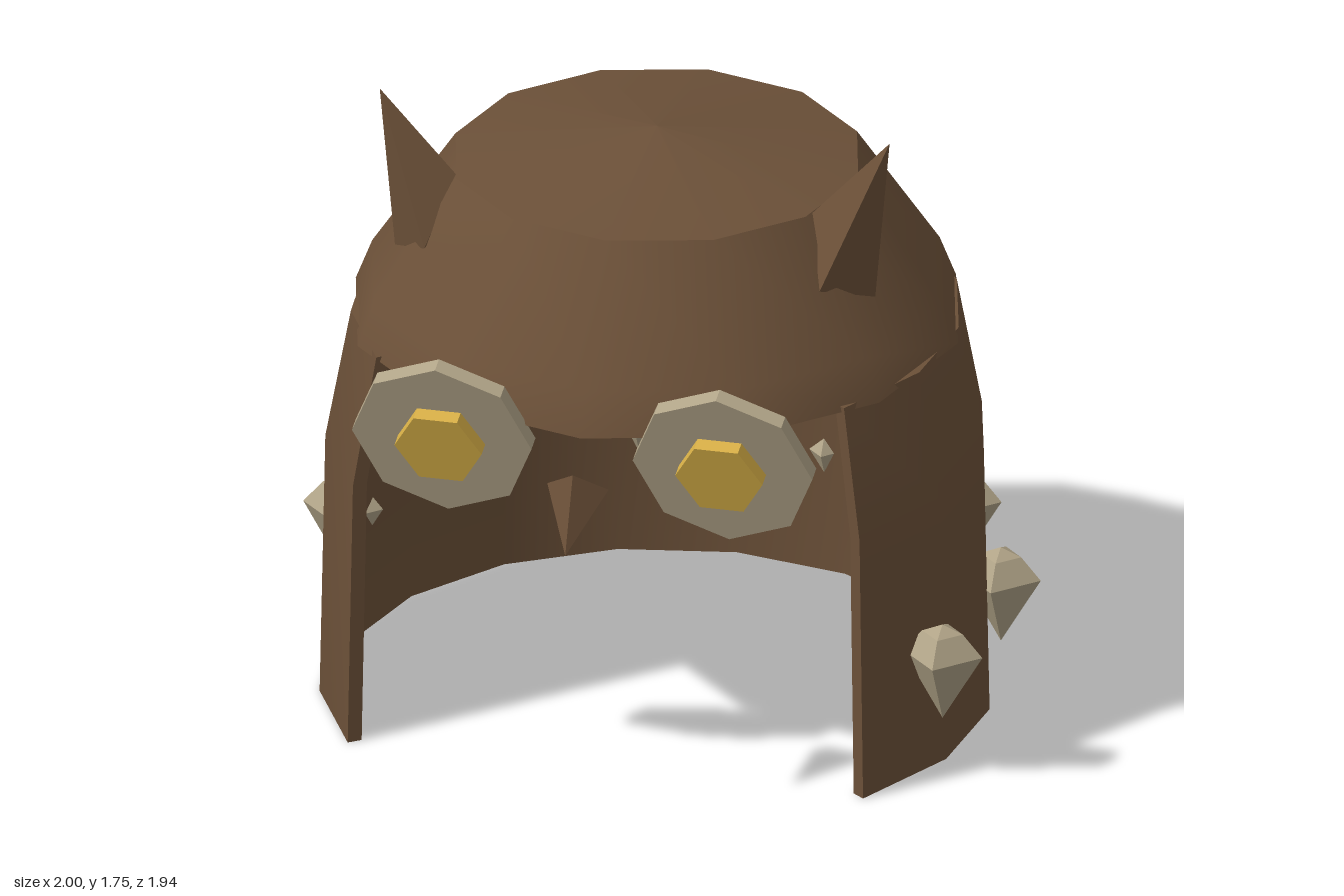
import * as THREE from 'three';
import { ConvexGeometry } from 'three/addons/geometries/ConvexGeometry.js';

const flat = (g) => {
  const out = g.index ? g.toNonIndexed() : g;
  out.computeVertexNormals();
  return out;
};
const profile = (points) => points.map(([x, y]) => new THREE.Vector2(x, y));
const hull = (points) => flat(new ConvexGeometry(points.map((p) => new THREE.Vector3(...p))));

export function createModel() {
  const model = new THREE.Group();
  model.name = 'owlHelmet';

  const brown = new THREE.MeshStandardMaterial({ color: 0x6b5038, side: THREE.DoubleSide });
  brown.name = 'brown';
  const bone = new THREE.MeshStandardMaterial({ color: 0xb0a387 });
  bone.name = 'bone';
  const amber = new THREE.MeshStandardMaterial({ color: 0xd6ae46 });
  amber.name = 'amber';

  const add = (name, geometry, material, parent = model) => {
    const mesh = new THREE.Mesh(geometry, material);
    mesh.name = name;
    parent.add(mesh);
    return mesh;
  };

  // Crown: shallow roof over a flared, smooth skirt
  add('crownRoof', new THREE.LatheGeometry(profile([[0.545, 1.535], [0, 1.62]]), 12), brown);
  add('crownSkirt', new THREE.LatheGeometry(
    profile([[0.815, 1.085], [0.77, 1.2], [0.545, 1.535]]), 12), brown);

  // Neck guard: thick curved wall, open at the front
  const outer = [[0.885, 0], [0.87, 0.74], [0.803, 1.1]];
  const inner = [[0.765, 1.1], [0.83, 0.74], [0.845, 0]];
  const halfArc = THREE.MathUtils.degToRad(128);
  const arc = (points) =>
    new THREE.LatheGeometry(profile(points), 12, Math.PI - halfArc, halfArc * 2);
  add('guardOuter', arc(outer), brown);
  add('guardInner', arc(inner), brown);
  add('guardBottomRim', arc([inner[2], outer[0]]), brown);
  add('guardTopRim', arc([outer[2], inner[0]]), brown);
  const edge = new THREE.ShapeGeometry(new THREE.Shape(profile([...outer, ...inner])));
  for (const side of [-1, 1]) {
    const phi = Math.PI + side * halfArc;
    add('guardFrontEdge', edge, brown).rotation.y = phi - Math.PI / 2;
  }

  // Bone studs around the guard
  const studShape = flat(new THREE.LatheGeometry(
    profile([[0, -0.185], [0.108, 0], [0.055, 0.062], [0, 0.085]]), 4));
  const studs = [
    [0.25, -0.865], [0.67, -0.605], [0.89, -0.16], [0.86, 0.34],
    [-0.25, -0.865], [-0.67, -0.605], [-0.89, -0.16],
  ];
  for (const [x, z] of studs) add('stud', studShape, bone).position.set(x, 0.345, z);

  // Horns and eyes, mirrored
  const discShape = flat(new THREE.CylinderGeometry(0.243, 0.243, 0.045, 8).rotateX(Math.PI / 2));
  const irisShape = flat(new THREE.CylinderGeometry(0.118, 0.118, 0.06, 6)
    .rotateY(Math.PI / 6).rotateX(Math.PI / 2));
  for (const s of [1, -1]) {
    add('horn', hull([
      [s * 0.69, 1.755, 0.235], [s * 0.48, 1.53, 0.24], [s * 0.535, 1.45, 0.12],
      [s * 0.535, 1.37, 0.37], [s * 0.65, 1.305, 0.23], [s * 0.5, 1.38, 0.235],
    ]), brown);

    const eye = new THREE.Group();
    eye.name = s > 0 ? 'leftEye' : 'rightEye';
    eye.position.set(s * 0.38, 1.033, 0.77);
    eye.rotation.x = THREE.MathUtils.degToRad(17);
    add('eyeDisc', discShape, bone, eye);
    add('iris', irisShape, amber, eye).position.z = 0.033;
    model.add(eye);
  }

  // Beak
  add('beak', hull([
    [0, 0.815, 0.97], [0, 1.012, 0.89], [0, 0.89, 0.78],
    [0.083, 0.955, 0.835], [-0.083, 0.955, 0.835],
  ]), brown);

  return model;
}
